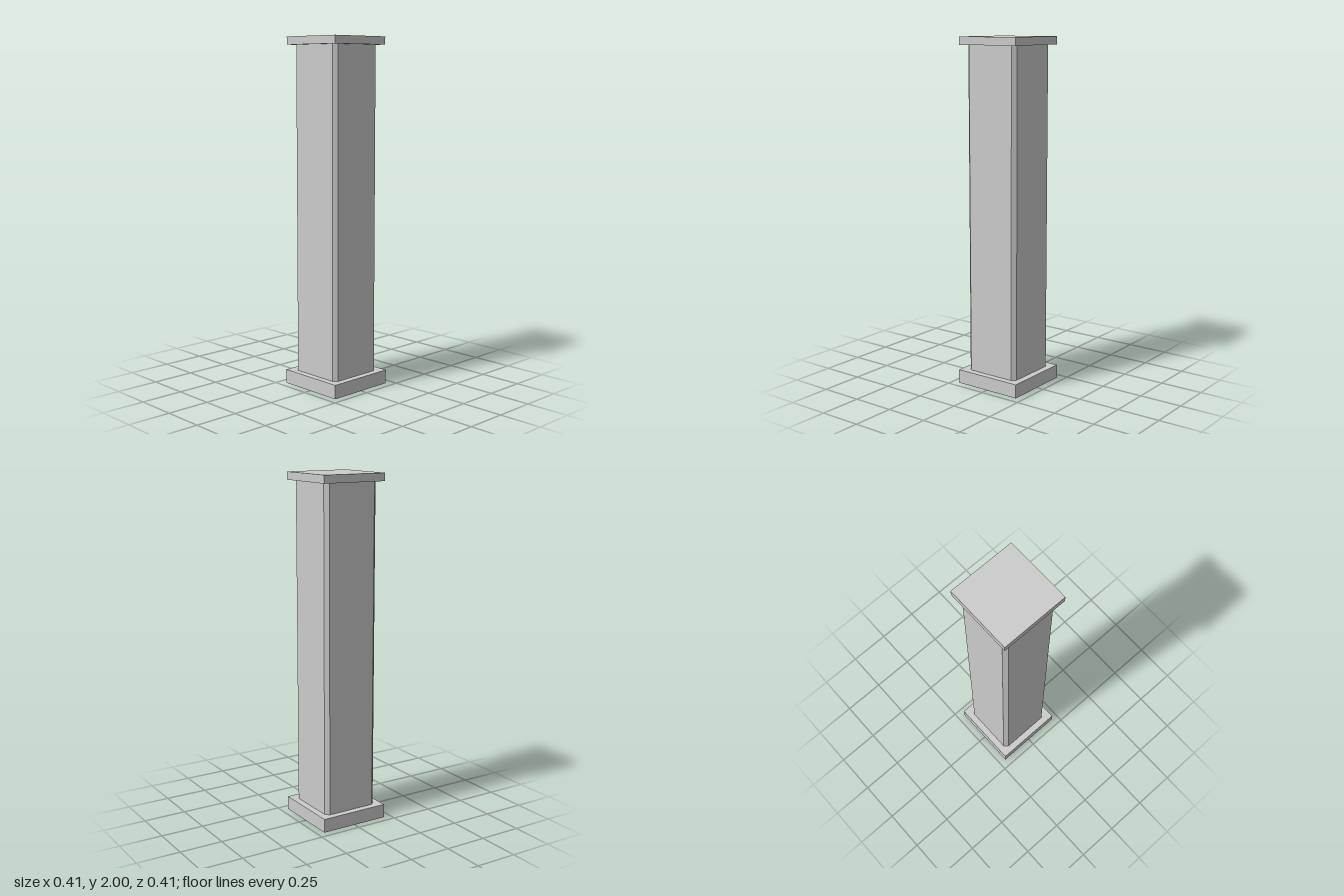
import * as THREE from 'three';

export function createModel() {
  const group = new THREE.Group();
  const material = new THREE.MeshStandardMaterial({ color: 0xcccccc, flatShading: true });
  const baseTop = 0.08, capBottom = 1.955, height = 2;

  const add = (name, geometry) => {
    const mesh = new THREE.Mesh(geometry, material);
    mesh.name = name;
    group.add(mesh);
    return mesh;
  };

  // Square slab of a given half width between two heights
  const slab = (name, half, y0, y1) => {
    add(name, new THREE.BoxGeometry(half * 2, y1 - y0, half * 2)).position.y = (y0 + y1) / 2;
  };

  slab('base', 0.206, 0, baseTop);
  slab('cap', 0.194, capBottom, height);

  // Shaft: square with chamfered corners, extruded upwards
  const h = 0.167, f = 0.145;
  const outline = new THREE.Shape([
    [f, -h], [h, -f], [h, f], [f, h], [-f, h], [-h, f], [-h, -f], [-f, -h],
  ].map(([x, y]) => new THREE.Vector2(x, y)));
  const shaft = new THREE.ExtrudeGeometry(outline, { depth: capBottom - baseTop, bevelEnabled: false });
  shaft.rotateX(-Math.PI / 2);
  add('shaft', shaft).position.y = baseTop;

  return group;
}
